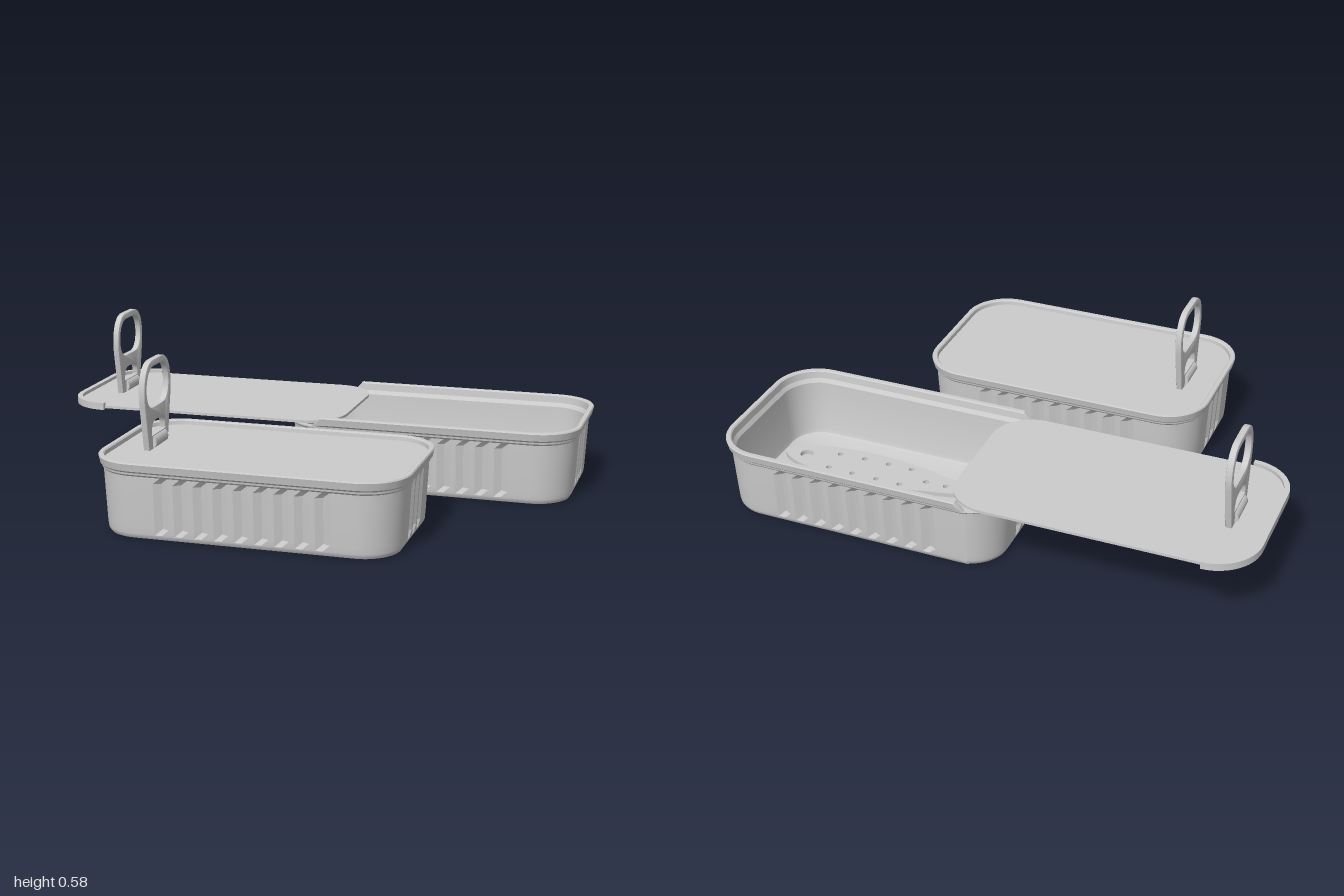
import * as THREE from 'three';
import { toCreasedNormals } from 'three/addons/utils/BufferGeometryUtils.js';

const HX = 0.558, HZ = 0.323, R = 0.165;
const material = new THREE.MeshStandardMaterial({ color: 0xcccccc, side: THREE.DoubleSide });

function mesh(name, geometry, x = 0, y = 0, z = 0) {
  const m = new THREE.Mesh(geometry, material);
  m.name = name;
  m.position.set(x, y, z);
  return m;
}

// Rounded rectangle as points with outward normals; groove = 1 on groove centre lines
function outline(hx, hz, r, cuts = []) {
  const pts = [];
  const sides = [
    { cx: 1, cz: 1, n: 9, pitch: 0.0715, nx: 0, nz: 1 },
    { cx: -1, cz: 1, n: 3, pitch: 0.065, nx: -1, nz: 0 },
    { cx: -1, cz: -1, n: 9, pitch: 0.0715, nx: 0, nz: -1 },
    { cx: 1, cz: -1, n: 3, pitch: 0.065, nx: 1, nz: 0 },
  ];
  sides.forEach((s, k) => {
    for (let i = 0; i <= 12; i++) {
      const a = (k + i / 12) * Math.PI / 2;
      const nx = Math.cos(a), nz = Math.sin(a);
      pts.push({ x: s.cx * (hx - r) + r * nx, z: s.cz * (hz - r) + r * nz, nx, nz, groove: 0 });
    }
    // positions along the straight side that follows this corner
    const along = [];
    for (let i = 0; i < s.n; i++) {
      const c = (i - (s.n - 1) / 2) * s.pitch;
      along.push([c - 0.026, 0], [c, 1], [c + 0.026, 0]);
    }
    if (s.nz) cuts.forEach((c) => along.push([c, 0]));
    const dir = s.nz ? -s.nz : s.nx;
    along.sort((a, b) => dir * (a[0] - b[0]));
    for (const [t, groove] of along) {
      pts.push({ x: s.nz ? t : s.nx * hx, z: s.nz ? s.nz * hz : t, nx: s.nx, nz: s.nz, groove });
    }
  });
  return pts;
}

// Can body: [outset, height, groove depth] from the underside, over the rim, to the inner floor
const PROFILE = [
  [null, 0, 0], [-0.052, 0, 0], [-0.038, 0.005, 0], [-0.031, 0.016, 0], [-0.03, 0.022, 0],
  [-0.028, 0.045, 0.013], [-0.019, 0.208, 0.013], [-0.018, 0.23, 0],
  [-0.013, 0.236, 0], [-0.012, 0.243, 0], [-0.006, 0.249, 0], [0, 0.275, 0], [-0.003, 0.28, 0],
  [-0.017, 0.28, 0], [-0.021, 0.276, 0], [-0.024, 0.25, 0], [-0.034, 0.235, 0],
  [-0.036, 0.2, 0], [-0.05, 0.04, 0], [-0.055, 0.025, 0], [-0.066, 0.02, 0], [null, 0.02, 0],
];

function canBody(cut) {
  const torn = cut !== undefined;
  const pts = outline(HX, HZ, R, torn ? [cut - 0.03, cut] : []);
  const rows = PROFILE.map(([d, y, g]) => pts.map((p) => {
    if (d === null) return [0, y, 0];
    const off = d - g * p.groove;
    // the rim is torn away on the opened end
    const top = torn && p.x < cut - 0.001 ? 0.245 : 1;
    return [p.x + p.nx * off, Math.min(y, top), p.z + p.nz * off];
  }));
  const pos = [];
  for (let j = 0; j < rows.length - 1; j++) {
    for (let i = 0; i < pts.length; i++) {
      const k = (i + 1) % pts.length;
      const a = rows[j][i], b = rows[j][k], c = rows[j + 1][i], d = rows[j + 1][k];
      if (PROFILE[j + 1][0] !== null) pos.push(...b, ...c, ...d);
      if (PROFILE[j][0] !== null) pos.push(...a, ...c, ...b);
    }
  }
  const g = new THREE.BufferGeometry();
  g.setAttribute('position', new THREE.Float32BufferAttribute(pos, 3));
  return toCreasedNormals(g, 0.45);
}

// Flat plate lying in xz, its shape given as (x, -z)
function plate(shape, depth) {
  const g = new THREE.ExtrudeGeometry(shape, { depth, bevelEnabled: false, curveSegments: 12 });
  return toCreasedNormals(g.rotateX(-Math.PI / 2), 0.5);
}
const offsetPoints = (pts, d) => pts.map((p) => new THREE.Vector2(p.x + p.nx * d, -(p.z + p.nz * d)));
const shapeXZ = (list) => new THREE.Shape(list.map(([x, z]) => new THREE.Vector2(x, -z)));

function addHole(shape, x, z, r) {
  shape.holes.push(new THREE.Path().absarc(x, -z, r, 0, Math.PI * 2, true));
}

// Upright pull ring with finger hole, lower slot and rivet
function pullRing() {
  const group = new THREE.Group();
  group.name = 'pullRing';
  const s = new THREE.Shape();
  s.moveTo(-0.085, 0.262);
  s.lineTo(0.085, 0.262);
  s.lineTo(0.119, 0.43);
  s.bezierCurveTo(0.133, 0.51, 0.105, 0.575, 0.04, 0.575);
  s.lineTo(-0.04, 0.575);
  s.bezierCurveTo(-0.105, 0.575, -0.133, 0.51, -0.119, 0.43);
  const h = new THREE.Path();
  h.moveTo(-0.045, 0.405);
  h.bezierCurveTo(-0.135, 0.405, -0.125, 0.56, -0.04, 0.56);
  h.lineTo(0.04, 0.56);
  h.bezierCurveTo(0.125, 0.56, 0.135, 0.405, 0.045, 0.405);
  const slot = new THREE.Path();
  slot.moveTo(-0.069, 0.305);
  slot.bezierCurveTo(-0.07, 0.345, -0.055, 0.364, -0.03, 0.364);
  slot.lineTo(0.03, 0.364);
  slot.bezierCurveTo(0.055, 0.364, 0.07, 0.345, 0.069, 0.305);
  s.holes.push(h, slot);
  const g = new THREE.ExtrudeGeometry(s, {
    depth: 0.014, bevelThickness: 0.005, bevelSize: 0.005, bevelSegments: 2, curveSegments: 14,
  }).translate(0, 0, -0.007).rotateY(-Math.PI / 2);
  group.add(mesh('ring', toCreasedNormals(g, 0.6)));
  group.add(mesh('hinge', new THREE.CylinderGeometry(0.025, 0.025, 0.115, 20).rotateX(Math.PI / 2), 0, 0.284, 0));
  return group;
}

// Whole fish, head towards +x
function fish() {
  const s = new THREE.Shape();
  s.moveTo(0.93, 0.31);
  s.bezierCurveTo(0.91, 0.36, 0.8, 0.4, 0.6, 0.41);
  s.bezierCurveTo(0.45, 0.41, 0.32, 0.37, 0.19, 0.345);
  s.quadraticCurveTo(0.12, 0.385, 0.03, 0.395);
  s.lineTo(0.08, 0.315);
  s.lineTo(0.03, 0.235);
  s.quadraticCurveTo(0.12, 0.245, 0.19, 0.28);
  s.bezierCurveTo(0.32, 0.25, 0.45, 0.215, 0.6, 0.215);
  s.bezierCurveTo(0.8, 0.22, 0.91, 0.26, 0.93, 0.31);
  addHole(s, 0.84, -0.31, 0.025);
  [[0.26, -0.315], [0.34, -0.315], [0.72, -0.36], [0.72, -0.265]].forEach(([x, z]) => addHole(s, x, z, 0.011));
  for (const x of [0.425, 0.52, 0.62]) for (const z of [-0.365, -0.26]) addHole(s, x, z, 0.011);
  return plate(s, 0.018);
}

// Fish bones, head towards -x and forked tail towards +x
function fishBones() {
  const mid = -0.53, upper = [];
  for (let i = 0; i < 8; i++) {
    const x = 0.12 + i * 0.073, len = 0.092 - 0.0011 * i * i;
    upper.push([x, 0.018], [x + 0.004, len - 0.008], [x + 0.012, len], [x + 0.026, len], [x + 0.034, len - 0.008], [x + 0.038, 0.018]);
  }
  const half = [[-0.04, 0.02], [-0.01, 0.055], [0.04, 0.08], [0.085, 0.085], [0.095, 0.018],
    ...upper, [0.72, 0.015], [0.79, 0.055], [0.905, 0.075]];
  const list = [...half.map(([x, w]) => [x, mid - w]), [0.82, mid],
    ...half.slice().reverse().map(([x, w]) => [x, mid + w])];
  const s = shapeXZ(list);
  addHole(s, 0.02, mid, 0.02);
  return plate(s, 0.018);
}

export function createModel() {
  const model = new THREE.Group();

  // Closed can
  const closed = new THREE.Group();
  closed.name = 'closedCan';
  closed.position.set(-0.013, 0, 0.395);
  closed.add(mesh('canBody', canBody()));
  const lidShape = new THREE.Shape(offsetPoints(outline(HX, HZ, R), -0.02));
  closed.add(mesh('lid', plate(lidShape, 0.01), 0, 0.252, 0));
  const closedRing = pullRing();
  closedRing.position.x = -0.418;
  closed.add(closedRing);
  model.add(closed);

  // Open can with its contents
  const open = new THREE.Group();
  open.name = 'openCan';
  open.add(mesh('canBody', canBody(-0.4), 0.438, 0, -0.397));
  open.add(mesh('fish', fish(), 0, 0.019, 0));
  open.add(mesh('fishBones', fishBones(), 0, 0.019, 0));

  // Lid slid back, keeping the torn end of the rim
  const lid = new THREE.Group();
  lid.name = 'openLid';
  lid.position.set(-0.442, 0, -0.397);
  const plateShape = new THREE.Shape(offsetPoints(outline(0.542, 0.307, 0.15), 0));
  lid.add(mesh('lidPlate', plate(plateShape, 0.01), 0, 0.252, 0));
  const arc = outline(HX, HZ, R).filter((p) => p.x < -0.39);
  const rim = new THREE.Shape([...offsetPoints(arc, 0), ...offsetPoints(arc, -0.02).reverse()]);
  lid.add(mesh('lidRim', plate(rim, 0.027), 0, 0.248, 0));
  const openRing = pullRing();
  openRing.position.x = -0.418;
  lid.add(openRing);
  open.add(lid);
  model.add(open);

  return model;
}
